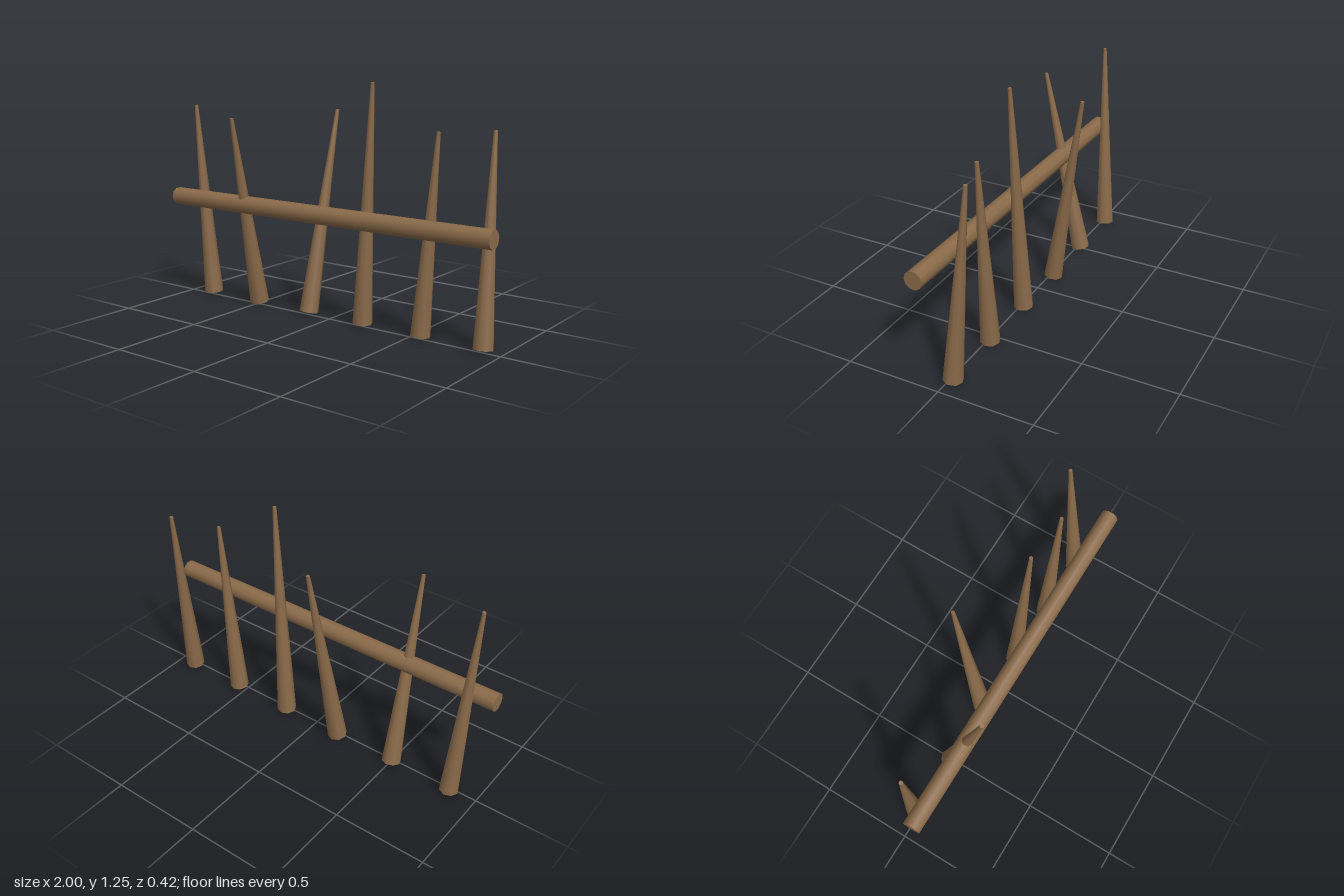
import * as THREE from 'three';

const wood = new THREE.MeshStandardMaterial({ color: 0x8b6b4a });
const UP = new THREE.Vector3(0, 1, 0);

// Round timber running from one point to another, tapering between two radii
function timber(name, from, to, r0, r1, sides) {
  const dir = new THREE.Vector3().subVectors(to, from);
  const mesh = new THREE.Mesh(new THREE.CylinderGeometry(r1, r0, dir.length(), sides), wood);
  mesh.name = name;
  mesh.position.addVectors(from, to).multiplyScalar(0.5);
  mesh.quaternion.setFromUnitVectors(UP, dir.normalize());
  return mesh;
}

export function createModel() {
  const model = new THREE.Group();
  model.name = 'palisade';

  // Sharpened stakes, each leaning its own way: foot x, then tip x, y, z
  const stakes = [
    [-0.853, -0.905, 1.09, 0.037],
    [-0.503, -0.489, 1.047, 0.2],
    [-0.152, -0.096, 1.09, -0.2],
    [0.199, 0.27, 1.25, 0.006],
    [0.549, 0.63, 1.027, -0.023],
    [0.897, 0.88, 1.044, -0.117],
  ];
  stakes.forEach(([footX, x, y, z], i) => {
    const foot = new THREE.Vector3(footX, 0.012, -0.02);
    model.add(timber('stake' + (i + 1), foot, new THREE.Vector3(x, y, z), 0.052, 0.01, 8));
  });

  // Horizontal rail along the front
  model.add(timber('rail', new THREE.Vector3(-1, 0.575, 0.1), new THREE.Vector3(1, 0.575, 0.1), 0.048, 0.048, 10));

  return model;
}
